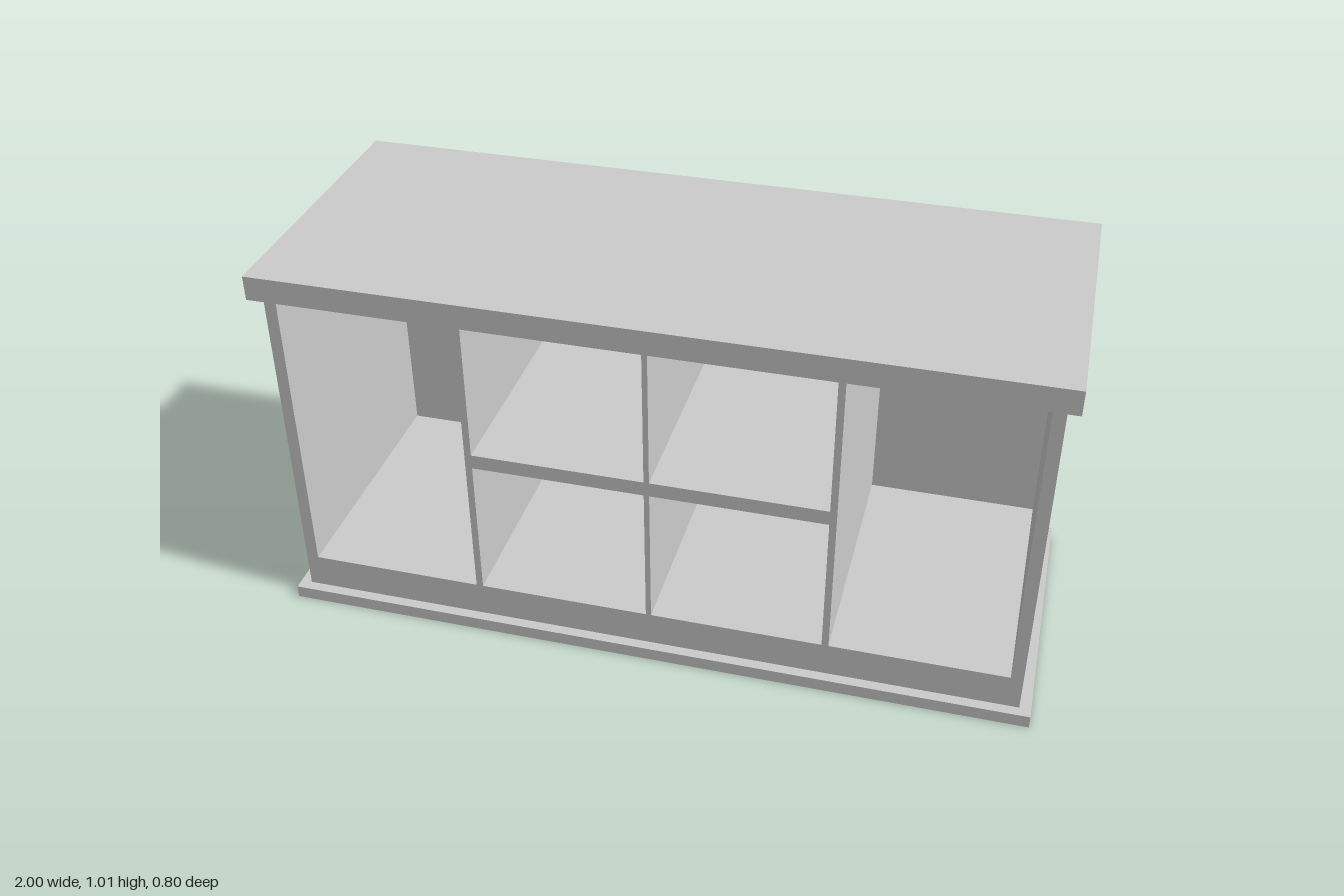
import * as THREE from 'three';

const material = new THREE.MeshStandardMaterial({ color: 0xcccccc, side: THREE.DoubleSide });
const FACES = ['+x', '-x', '+y', '-y', '+z', '-z'];

// Box given by its limits, with the listed faces left open
function openBox(name, [x0, x1], [y0, y1], [z0, z1], open = []) {
  const geometry = new THREE.BoxGeometry(x1 - x0, y1 - y0, z1 - z0);
  const index = Array.from(geometry.index.array);
  geometry.setIndex(FACES.flatMap((f, i) => (open.includes(f) ? [] : index.slice(i * 6, i * 6 + 6))));
  geometry.clearGroups();
  geometry.translate((x0 + x1) / 2, (y0 + y1) / 2, (z0 + z1) / 2);
  const mesh = new THREE.Mesh(geometry, material);
  mesh.name = name;
  return mesh;
}

function rectangle(target, [x0, x1], [y0, y1]) {
  target.moveTo(x0, y0).lineTo(x1, y0).lineTo(x1, y1).lineTo(x0, y1).closePath();
  return target;
}

// Flat sheet with rectangular openings
function sheet(name, xs, ys, holes) {
  const shape = rectangle(new THREE.Shape(), xs, ys);
  holes.forEach(([hx, hy]) => shape.holes.push(rectangle(new THREE.Path(), hx, hy)));
  const mesh = new THREE.Mesh(new THREE.ShapeGeometry(shape), material);
  mesh.name = name;
  return mesh;
}

export function createModel() {
  const group = new THREE.Group();
  group.name = 'cabinet';

  const bodyX = [-0.97, 0.97], front = 0.372, back = -0.357, pocketBack = -0.335;
  const baseTop = 0.035, floor = 0.13, ceiling = 0.95;

  // Worktop
  group.add(openBox('worktop', [-1, 1], [ceiling, 1.015], [-0.4, 0.4]));

  // Outer carcass, open below and at the front
  group.add(openBox('carcass', bodyX, [baseTop, ceiling], [back, front], ['+y', '-y', '+z']));

  // Tall outer compartments, and centre ones split by a shelf
  const pockets = [];
  for (const side of [-1, 1]) {
    const span = (a, b) => [side * a, side * b].sort((p, q) => p - q);
    pockets.push([span(0.477, 0.938), [floor, ceiling]]);
    pockets.push([span(0.007, 0.459), [floor, 0.52]]);
    pockets.push([span(0.007, 0.459), [0.56, ceiling]]);
  }
  for (const [xs, ys] of pockets) {
    const open = ys[1] === ceiling ? ['+z', '+y'] : ['+z'];
    group.add(openBox('compartment', xs, ys, [pocketBack, front], open));
  }

  // Front frame around the compartments; its top edge is let into the worktop
  const frame = sheet('frontFrame', bodyX, [baseTop, ceiling + 0.01], pockets);
  frame.position.z = front;
  group.add(frame);

  // Hollow base trim: outer band and the ledge round the carcass
  const baseZ = [-0.385, 0.4];
  group.add(openBox('baseBand', [-1, 1], [0, baseTop], baseZ, ['+y', '-y']));
  const ledge = sheet('baseLedge', [-1, 1], [-baseZ[1], -baseZ[0]], [[bodyX, [-front, -back]]]);
  ledge.rotation.x = -Math.PI / 2;
  ledge.position.y = baseTop;
  group.add(ledge);

  return group;
}
